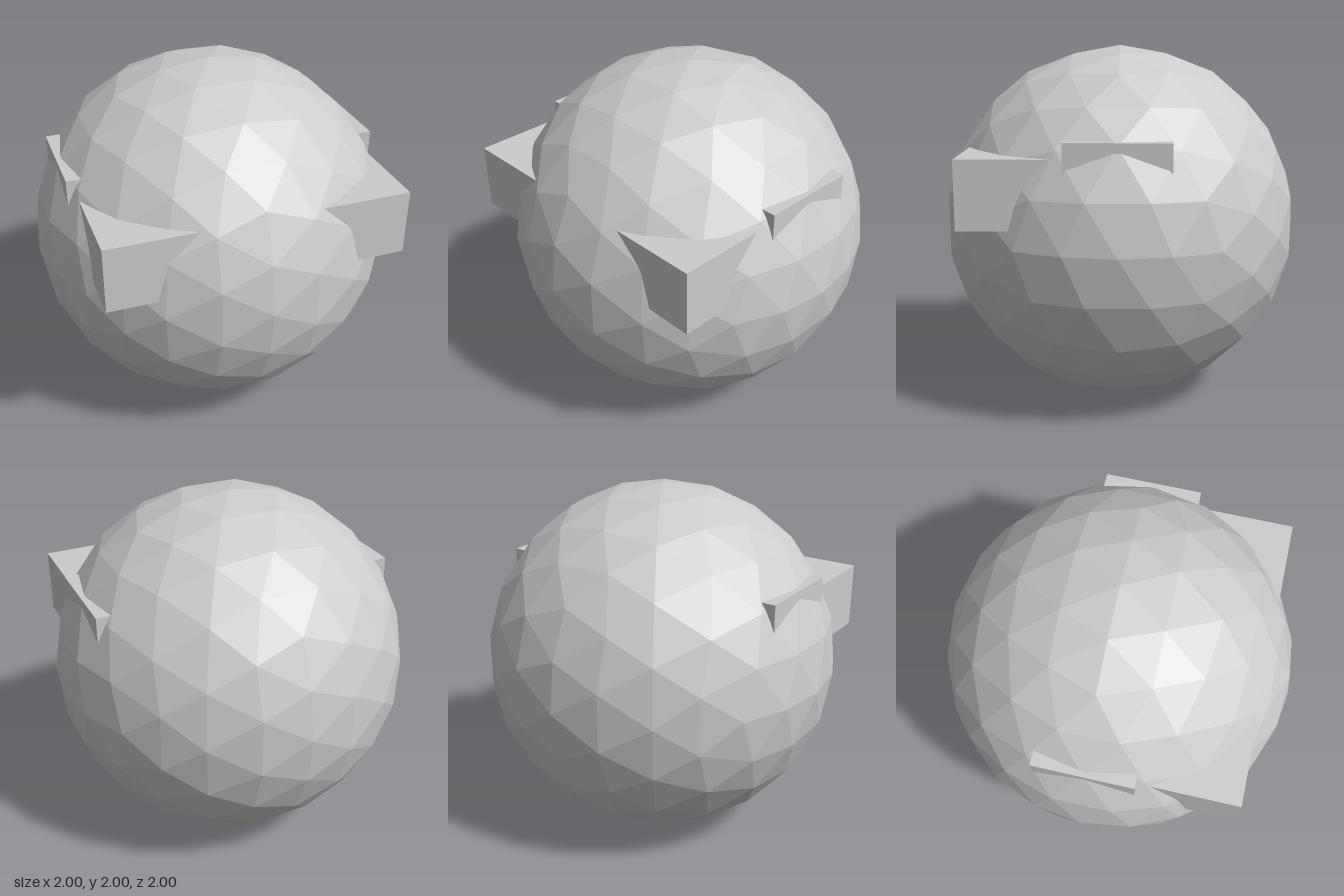
import * as THREE from 'three';

const material = new THREE.MeshStandardMaterial({ color: 0xcccccc, flatShading: true });

// Faceted ball: an icosahedron halved twice, each time pushed out to the sphere
function createBall(radius) {
  const base = new THREE.IcosahedronGeometry(1, 1).getAttribute('position');
  const indices = Array.from({ length: base.count }, (_, i) => i);
  const geometry = new THREE.PolyhedronGeometry(Array.from(base.array), indices, radius, 1);
  geometry.computeVertexNormals();
  return geometry;
}

// Box given by its lower and upper corners
function createBlock(name, min, max) {
  const size = max.map((v, i) => v - min[i]);
  const mesh = new THREE.Mesh(new THREE.BoxGeometry(...size), material);
  mesh.position.set(...max.map((v, i) => (v + min[i]) / 2));
  mesh.name = name;
  return mesh;
}

export function createModel() {
  const model = new THREE.Group();
  model.name = 'ballWithBlocks';

  const ball = new THREE.Mesh(createBall(1), material);
  ball.name = 'ball';
  ball.position.y = 1;
  model.add(ball);

  for (const [side, s] of [['left', 1], ['right', -1]]) {
    // Mirror a box's x range to the given side
    const xs = (a, b) => (s > 0 ? [a, b] : [-b, -a]);

    // Large block sticking out of the front corner
    const [f0, f1] = xs(0.28, 0.815);
    model.add(createBlock(side + 'FrontBlock', [f0, 1.095, 0.28], [f1, 1.457, 0.815]));

    // Shallow ledge high on the flank
    const [l0, l1] = xs(0.6, 0.863);
    model.add(createBlock(side + 'SideLedge', [l0, 1.3, -0.271], [l1, 1.545, 0.271]));
  }
  return model;
}
